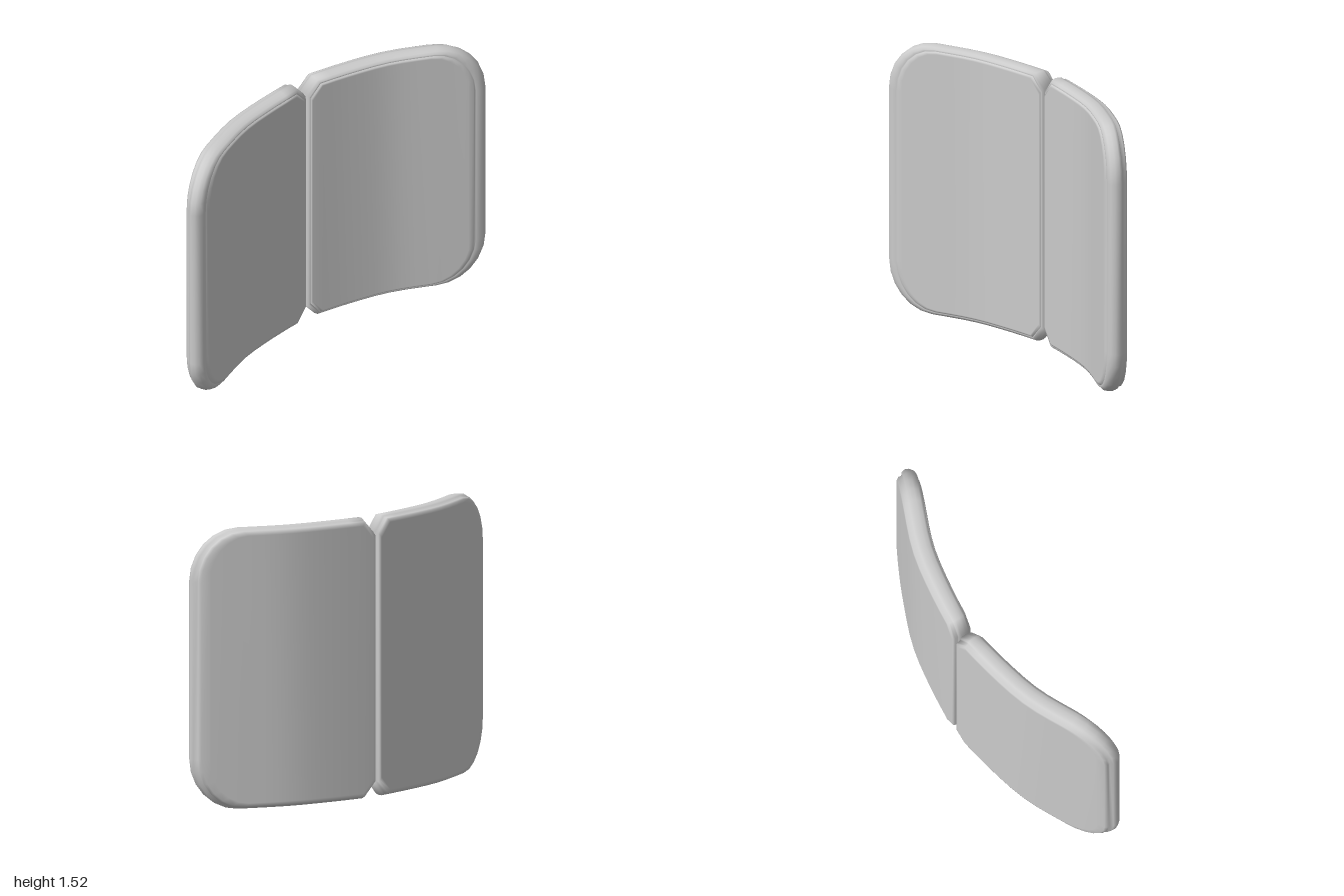
import * as THREE from 'three';

const HEIGHT = 1.52;

// Plan curve of one panel, from the centre seam to its outer end
const bend = new THREE.CatmullRomCurve3([
  [-0.152, 0], [-0.115, 0.26], [-0.06, 0.505], [0.045, 0.75], [0.162, 0.995],
].map(([x, z]) => new THREE.Vector3(x, 0, z)));

// Edge section: [inset from the outline, depth from convex to concave face]
const edge = [
  [0.09, 0], [0.048, 0.003], [0.033, 0.014], [0.032, 0.03], [0.012, 0.034],
  [0, 0.05], [0, 0.075], [0.012, 0.098], [0.036, 0.11], [0.056, 0.111],
  [0.061, 0.109], [0.068, 0.117], [0.09, 0.12],
];

// Outline at a given inset: upper half from seam to outer end, then mirrored below
function outline(inset) {
  const z0 = 0.003 + inset * 0.25, z1 = 1 - inset;
  const y1 = HEIGHT - inset * 0.4;
  const rz = 0.25 - inset * 0.5, ry = 0.28 - inset * 0.4;
  const upper = [[z0, y1 - 0.075], [z0 + 0.062, y1]];
  for (let i = 1; i <= 8; i++) {
    upper.push([THREE.MathUtils.lerp(z0 + 0.062, z1 - rz, i / 8), y1]);
  }
  for (let i = 1; i <= 6; i++) {
    const a = (i / 6) * Math.PI / 2;
    upper.push([z1 - rz + rz * Math.sin(a), y1 - ry + ry * Math.cos(a)]);
  }
  const lower = upper.map(([z, y]) => [z, HEIGHT - y]).reverse();
  return [...upper, ...lower];
}

// Wrap a flat panel point around the plan curve
function wrap(u, y, depth, side) {
  const p = bend.getPointAt(u), t = bend.getTangentAt(u);
  const off = depth - 0.06;
  const z = p.z - t.x * off * Math.min(1, u / 0.3);
  return [p.x + t.z * off, y, z * side];
}

function panelGeometry(side) {
  const positions = [], index = [];
  const rings = edge.map(([inset]) => outline(inset));
  const count = rings[0].length;
  rings.forEach((ring, k) => ring.forEach(([u, y]) => {
    positions.push(...wrap(u, y, edge[k][1], side));
  }));

  const quad = (a, b, c, d) => {
    if (side > 0) index.push(a, b, c, a, c, d);
    else index.push(a, c, b, a, d, c);
  };

  // Rim
  for (let k = 0; k < rings.length - 1; k++) {
    for (let j = 0; j < count; j++) {
      const n = (j + 1) % count, r = k * count;
      quad(r + j, r + n, r + count + n, r + count + j);
    }
  }

  // Convex and concave faces, in vertical strips
  const last = (rings.length - 1) * count;
  for (let i = 0; i < count / 2 - 1; i++) {
    const low = count - 1 - i;
    quad(low, low - 1, i + 1, i);
    quad(last + i, last + i + 1, last + low - 1, last + low);
  }

  const geometry = new THREE.BufferGeometry();
  geometry.setAttribute('position', new THREE.Float32BufferAttribute(positions, 3));
  geometry.setIndex(index);
  geometry.computeVertexNormals();
  return geometry;
}

export function createModel() {
  const group = new THREE.Group();
  group.name = 'curvedPadPair';
  const material = new THREE.MeshStandardMaterial({ color: 0xcccccc });
  for (const [name, side] of [['frontPanel', 1], ['backPanel', -1]]) {
    const panel = new THREE.Mesh(panelGeometry(side), material);
    panel.name = name;
    group.add(panel);
  }
  return group;
}
